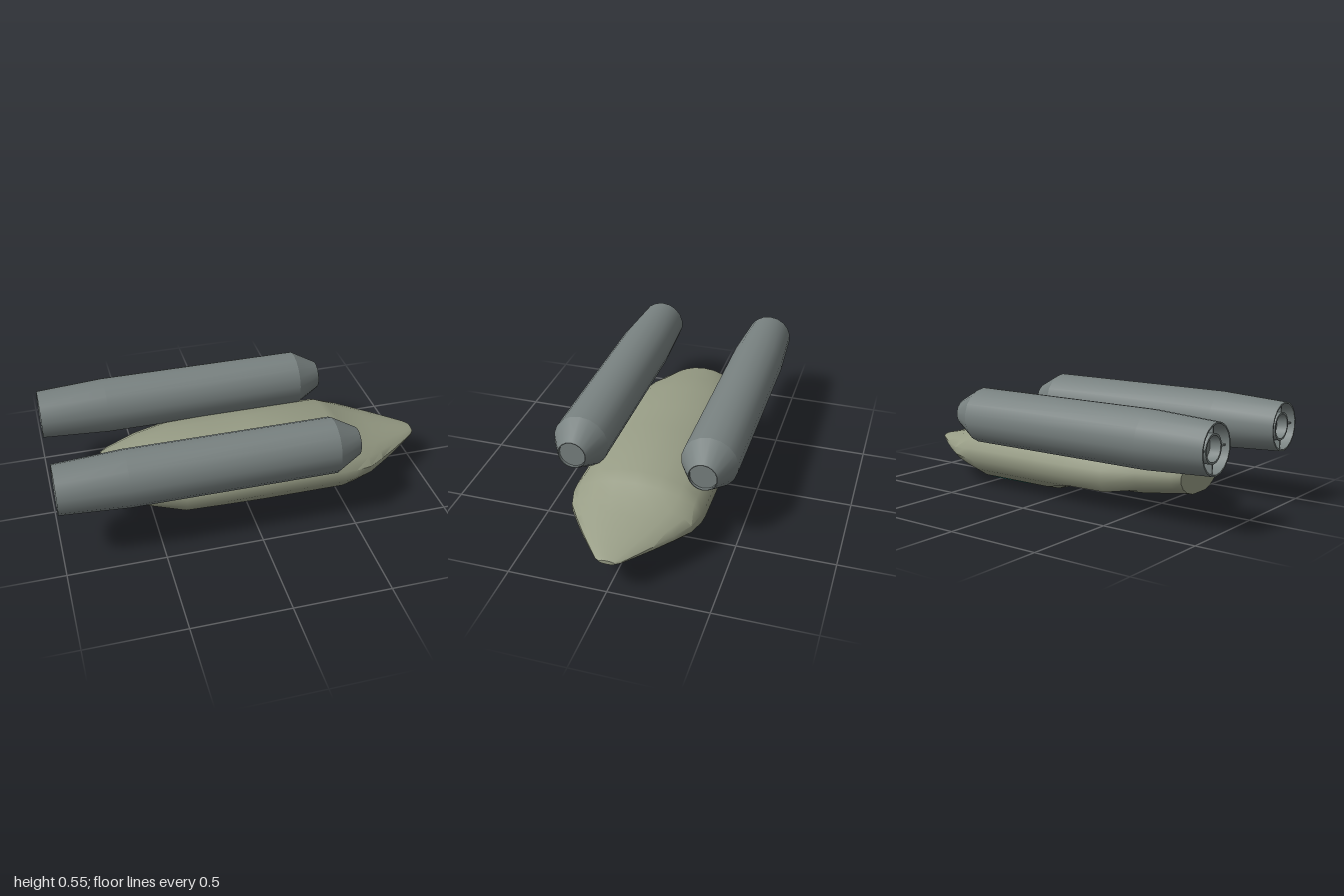
import * as THREE from 'three';
import { toCreasedNormals } from 'three/addons/utils/BufferGeometryUtils.js';

const SIDES = 18;

function material(name, color, side = THREE.FrontSide) {
  const m = new THREE.MeshStandardMaterial({ color, side });
  m.name = name;
  return m;
}

function addMesh(parent, name, geometry, mat) {
  const mesh = new THREE.Mesh(geometry, mat);
  mesh.name = name;
  parent.add(mesh);
  return mesh;
}

// Surface of revolution around the x axis; profile is [radius, x] from rear to front
function spun(profile) {
  const g = new THREE.LatheGeometry(profile.map(([r, x]) => new THREE.Vector2(r, x)), SIDES);
  g.rotateY(-Math.PI / 2);
  g.rotateZ(-Math.PI / 2);
  return toCreasedNormals(g, 0.42);
}

// Oval sections [x, half width, bottom, top, floor] joined along x, with flat ends
function hullGeometry(sections) {
  const pos = [], index = [];
  for (const [x, w, bottom, top, floor] of sections) {
    const cy = (top + bottom) / 2, ry = (top - bottom) / 2;
    for (let j = 0; j < SIDES; j++) {
      const t = (j / SIDES) * Math.PI * 2;
      pos.push(x, Math.max(cy + ry * Math.cos(t), floor), w * Math.sin(t));
    }
  }
  const last = sections.length - 1;
  for (let i = 0; i < last; i++) {
    for (let j = 0; j < SIDES; j++) {
      const k = (j + 1) % SIDES;
      const a = i * SIDES + j, b = i * SIDES + k, c = a + SIDES, d = b + SIDES;
      index.push(a, b, c, b, d, c);
    }
  }
  for (let j = 1; j < SIDES - 1; j++) {
    index.push(0, j + 1, j);
    index.push(last * SIDES, last * SIDES + j, last * SIDES + j + 1);
  }
  const g = new THREE.BufferGeometry();
  g.setAttribute('position', new THREE.Float32BufferAttribute(pos, 3));
  g.setIndex(index);
  return toCreasedNormals(g, 0.75);
}

// Thin strip following the lower hull curve
function bellyWindowGeometry(x0, x1) {
  const pos = [], index = [];
  for (let j = 7; j <= 11; j++) {
    const t = (j / SIDES) * Math.PI * 2;
    for (const x of [x0, x1]) pos.push(x, 0.178 + 0.178 * Math.cos(t), 0.343 * Math.sin(t));
  }
  for (let j = 0; j < 4; j++) {
    const a = j * 2;
    index.push(a, a + 2, a + 1, a + 1, a + 2, a + 3);
  }
  const g = new THREE.BufferGeometry();
  g.setAttribute('position', new THREE.Float32BufferAttribute(pos, 3));
  g.setIndex(index);
  g.computeVertexNormals();
  return g;
}

export function createModel() {
  const model = new THREE.Group();
  model.name = 'shuttle';
  const hullPaint = material('hull olive grey', 0x979c85);
  const engineMetal = material('engine grey', 0x788180, THREE.DoubleSide);
  const glass = material('teal glass', 0x1a716a, THREE.DoubleSide);
  const hatchMetal = material('hatch dark grey', 0x6b6b74);

  // Hull: blunt tapered tail, raised rear underside, deep belly, flat pointed nose
  const body = new THREE.Group();
  body.name = 'body';
  body.position.z = -0.006;
  model.add(body);
  addMesh(body, 'hull', hullGeometry([
    [-0.72, 0.17, 0.09, 0.28, 0.095],
    [-0.68, 0.2, 0.085, 0.29, 0.095],
    [-0.52, 0.275, 0.055, 0.325, 0.095],
    [-0.35, 0.33, 0.01, 0.35, 0.095],
    [-0.13, 0.34, 0.003, 0.353, 0.095],
    [0.07, 0.34, 0.003, 0.353, 0],
    [0.5, 0.34, 0.003, 0.353, 0],
    [0.56, 0.336, 0.034, 0.322, 0],
    [0.65, 0.31, 0.07, 0.283, 0],
    [0.74, 0.25, 0.098, 0.255, 0],
    [0.84, 0.178, 0.125, 0.229, 0],
    [0.93, 0.107, 0.148, 0.206, 0],
    [0.98, 0.067, 0.161, 0.194, 0],
    [1.0, 0.04, 0.168, 0.188, 0],
  ]), hullPaint);
  addMesh(body, 'bellyWindow', bellyWindowGeometry(0.22, 0.48), glass);

  // Round hatch under the tail
  const hatch = new THREE.Group();
  hatch.name = 'rearHatch';
  hatch.position.set(-0.27, 0.094, 0);
  body.add(hatch);
  const ring = new THREE.RingGeometry(0.035, 0.08, SIDES);
  ring.rotateX(Math.PI / 2);
  addMesh(hatch, 'hatchRing', ring, hatchMetal).position.y = -0.002;
  const centre = new THREE.CircleGeometry(0.035, SIDES);
  centre.rotateX(Math.PI / 2);
  addMesh(hatch, 'hatchCentre', centre, engineMetal).position.y = -0.001;

  // Two engine pods with recessed ends and an inner exhaust tube
  const podGeometry = spun([
    [0, -0.92], [0.117, -0.92], [0.117, -1], [0.125, -1], [0.145, -0.65],
    [0.145, 0.41], [0.073, 0.54], [0.069, 0.54], [0.069, 0.525], [0, 0.525],
  ]);
  const tubeGeometry = spun([
    [0, -0.93], [0.062, -0.93], [0.062, -0.985], [0.072, -0.985], [0.072, -0.92],
  ]);
  for (const side of [1, -1]) {
    const engine = new THREE.Group();
    engine.name = side > 0 ? 'frontEngine' : 'backEngine';
    engine.position.set(0, 0.405, side * 0.333);
    model.add(engine);
    addMesh(engine, 'enginePod', podGeometry, engineMetal);
    addMesh(engine, 'exhaustTube', tubeGeometry, engineMetal);
    // Struts between the exhaust tube and the pod wall
    for (let i = 0; i < 4; i++) {
      const strut = new THREE.BoxGeometry(0.06, 0.05, 0.008);
      strut.translate(-0.95, 0.094, 0);
      strut.rotateX((i * Math.PI) / 2);
      addMesh(engine, 'exhaustStrut', strut, engineMetal);
    }
  }
  return model;
}
